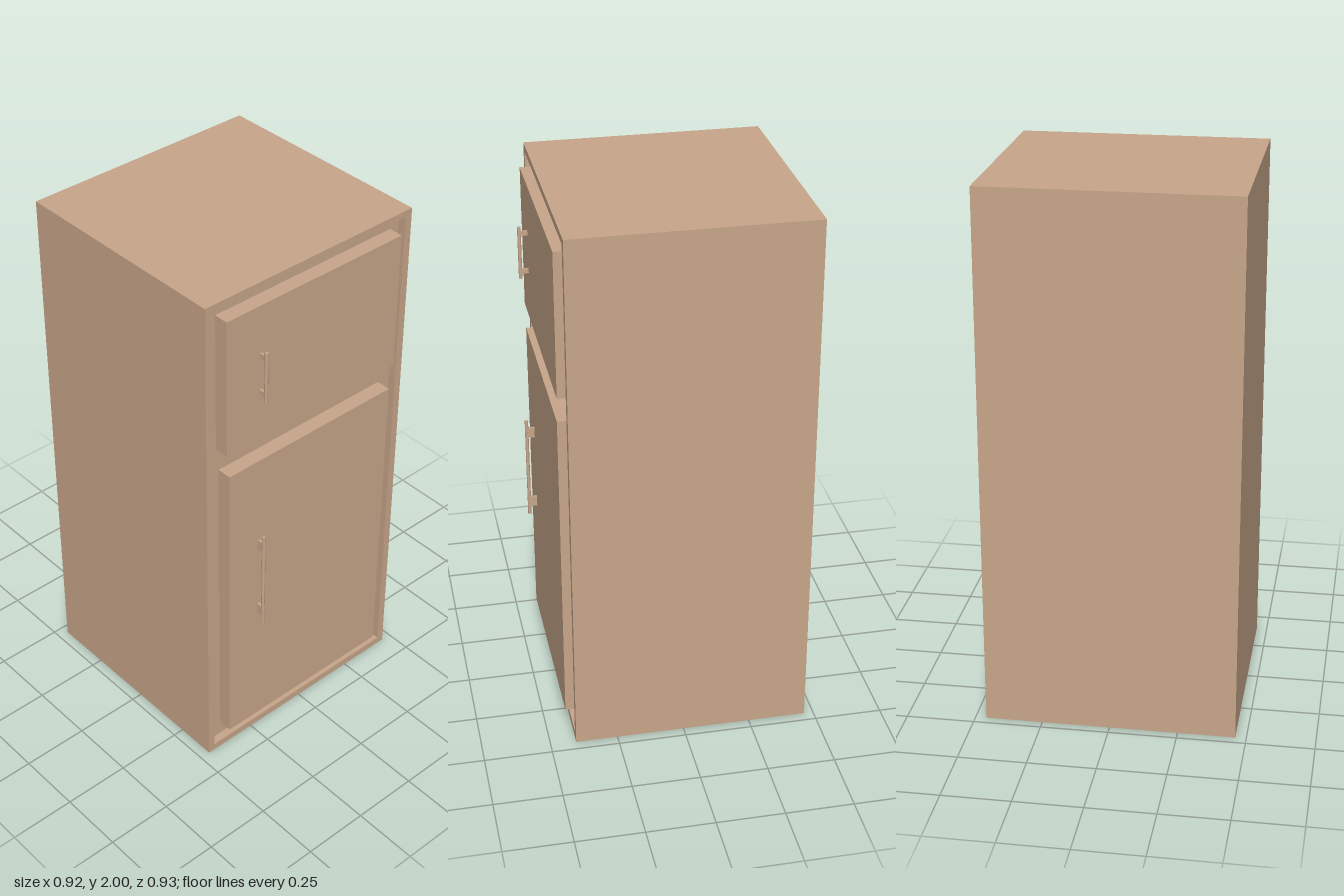
import * as THREE from 'three';

export function createModel() {
  const model = new THREE.Group();
  model.name = 'refrigerator';
  const tan = new THREE.MeshStandardMaterial({ color: 0xc8a68a });
  tan.name = 'warm tan';

  const add = (name, geometry, parent = model) => {
    const mesh = new THREE.Mesh(geometry, tan);
    mesh.name = name;
    parent.add(mesh);
    return mesh;
  };

  // Box given by its extents on each axis
  const block = (name, [x0, x1], [y0, y1], [z0, z1], parent) => {
    const mesh = add(name, new THREE.BoxGeometry(x1 - x0, y1 - y0, z1 - z0), parent);
    mesh.position.set((x0 + x1) / 2, (y0 + y1) / 2, (z0 + z1) / 2);
    return mesh;
  };

  const W = 0.46, BACK = -0.465, RECESS = 0.375, FRONT = 0.405, DOOR = 0.43;

  // Cabinet body, ending at the recessed front panel
  block('cabinet', [-W, W], [0, 2], [BACK, RECESS]);

  // Thin raised rim around the recessed front
  const rim = new THREE.Shape([
    new THREE.Vector2(-W, 0), new THREE.Vector2(W, 0),
    new THREE.Vector2(W, 2), new THREE.Vector2(-W, 2),
  ]);
  rim.holes.push(new THREE.Path([
    new THREE.Vector2(-0.433, 0.028), new THREE.Vector2(-0.433, 1.974),
    new THREE.Vector2(0.431, 1.974), new THREE.Vector2(0.431, 0.028),
  ]));
  add('frontRim', new THREE.ExtrudeGeometry(rim, { depth: FRONT - RECESS, bevelEnabled: false }))
    .position.z = RECESS;

  // Doors
  block('freezerDoor', [-0.392, 0.39], [1.397, 1.932], [RECESS, DOOR]);
  block('fridgeDoor', [-0.38, 0.376], [0.088, 1.302], [RECESS, DOOR]);

  // Bar handles, each on two standoffs
  const handle = (name, y0, y1, posts) => {
    const group = new THREE.Group();
    group.name = name;
    model.add(group);
    add('handleBar', new THREE.CylinderGeometry(0.0065, 0.0065, y1 - y0, 16), group)
      .position.set(-0.246, (y0 + y1) / 2, 0.459);
    for (const post of posts) block('handlePost', [-0.249, -0.239], post, [DOOR, 0.458], group);
  };
  handle('freezerHandle', 1.565, 1.763, [[1.585, 1.602], [1.731, 1.748]]);
  handle('fridgeHandle', 0.575, 0.98, [[0.61, 0.65], [0.91, 0.95]]);

  return model;
}
